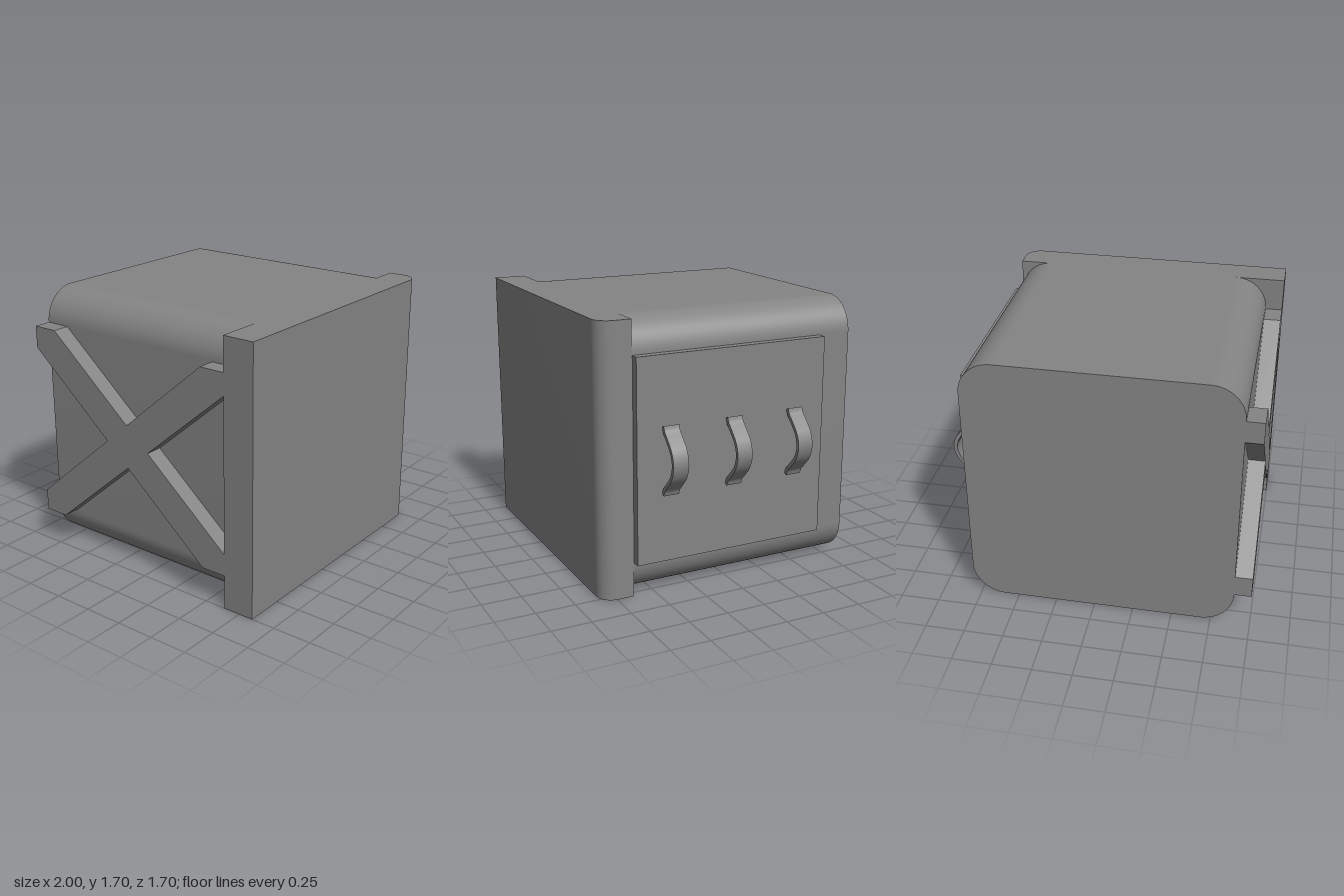
import * as THREE from 'three';
import { toCreasedNormals } from 'three/addons/utils/BufferGeometryUtils.js';

const material = new THREE.MeshStandardMaterial({ color: 0x848484 });

function addMesh(parent, name, geometry) {
  const mesh = new THREE.Mesh(geometry, material);
  mesh.name = name;
  parent.add(mesh);
  return mesh;
}

function extrude(shape, depth) {
  const g = new THREE.ExtrudeGeometry(shape, { depth, bevelEnabled: false, curveSegments: 12 });
  return toCreasedNormals(g, 0.5);
}

function roundedRect(x0, x1, y0, y1, r) {
  const s = new THREE.Shape();
  s.moveTo(x0 + r, y0);
  s.lineTo(x1 - r, y0);
  s.absarc(x1 - r, y0 + r, r, -Math.PI / 2, 0);
  s.lineTo(x1, y1 - r);
  s.absarc(x1 - r, y1 - r, r, 0, Math.PI / 2);
  s.lineTo(x0 + r, y1);
  s.absarc(x0 + r, y1 - r, r, Math.PI / 2, Math.PI);
  s.lineTo(x0, y0 + r);
  s.absarc(x0 + r, y0 + r, r, Math.PI, Math.PI * 1.5);
  return s;
}

// Bent strip: a bell curve given thickness along its normals
function handleShape() {
  const thick = 0.024, n = 32, outer = [], inner = [];
  const curve = new THREE.SplineCurve([
    [0.862, 0.64], [0.876, 0.674], [0.918, 0.718], [0.966, 0.775], [0.988, 0.85],
    [0.966, 0.925], [0.918, 0.982], [0.876, 1.026], [0.862, 1.06],
  ].map(([x, y]) => new THREE.Vector2(x, y)));
  for (let i = 0; i <= n; i++) {
    const p = curve.getPoint(i / n), t = curve.getTangent(i / n);
    const off = new THREE.Vector2(t.y, -t.x).multiplyScalar(thick / 2);
    outer.push(p.clone().add(off));
    inner.unshift(p.clone().sub(off));
  }
  return new THREE.Shape([...outer, ...inner]);
}

// Crossed bars with their ends clipped to a rectangle
function crossShape() {
  const a = 0.745, b = 0.632, c = 0.165, h = 0.14;
  return new THREE.Shape([
    [a, b], [a - c, b], [0, h], [-a + c, b], [-a, b], [-a, b - h], [-c, 0], [-a, -b + h],
    [-a, -b], [-a + c, -b], [0, -h], [a - c, -b], [a, -b], [a, -b + h], [c, 0], [a, b - h],
  ].map(([x, y]) => new THREE.Vector2(x, y)));
}

export function createModel() {
  const model = new THREE.Group();
  model.name = 'crate';

  // Main body, rounded along its four long edges
  addMesh(model, 'body', extrude(roundedRect(-0.89, 0.8, 0, 1.695, 0.21), 1.49)).position.z = -0.85;

  // Front plate with one rounded upright edge
  const plate = new THREE.Shape();
  plate.moveTo(-1, -0.845);
  plate.lineTo(0.7, -0.845);
  plate.absarc(0.7, -0.745, 0.1, -Math.PI / 2, 0);
  plate.lineTo(0.8, -0.64);
  plate.lineTo(-1, -0.64);
  addMesh(model, 'frontPlate', extrude(plate, 1.695).rotateX(-Math.PI / 2));

  // Cross brace on the -x side
  addMesh(model, 'crossBrace', extrude(crossShape(), 0.11).rotateY(Math.PI / 2))
    .position.set(-1, 0.85, -0.105);

  // Raised panel with three handles on the +x side
  addMesh(model, 'sidePanel', new THREE.BoxGeometry(0.053, 1.27, 1.275))
    .position.set(0.8265, 0.85, 0);
  const handle = extrude(handleShape(), 0.1);
  for (const z of [-0.425, 0, 0.425]) {
    addMesh(model, 'handle', handle).position.z = z - 0.05;
  }
  return model;
}
